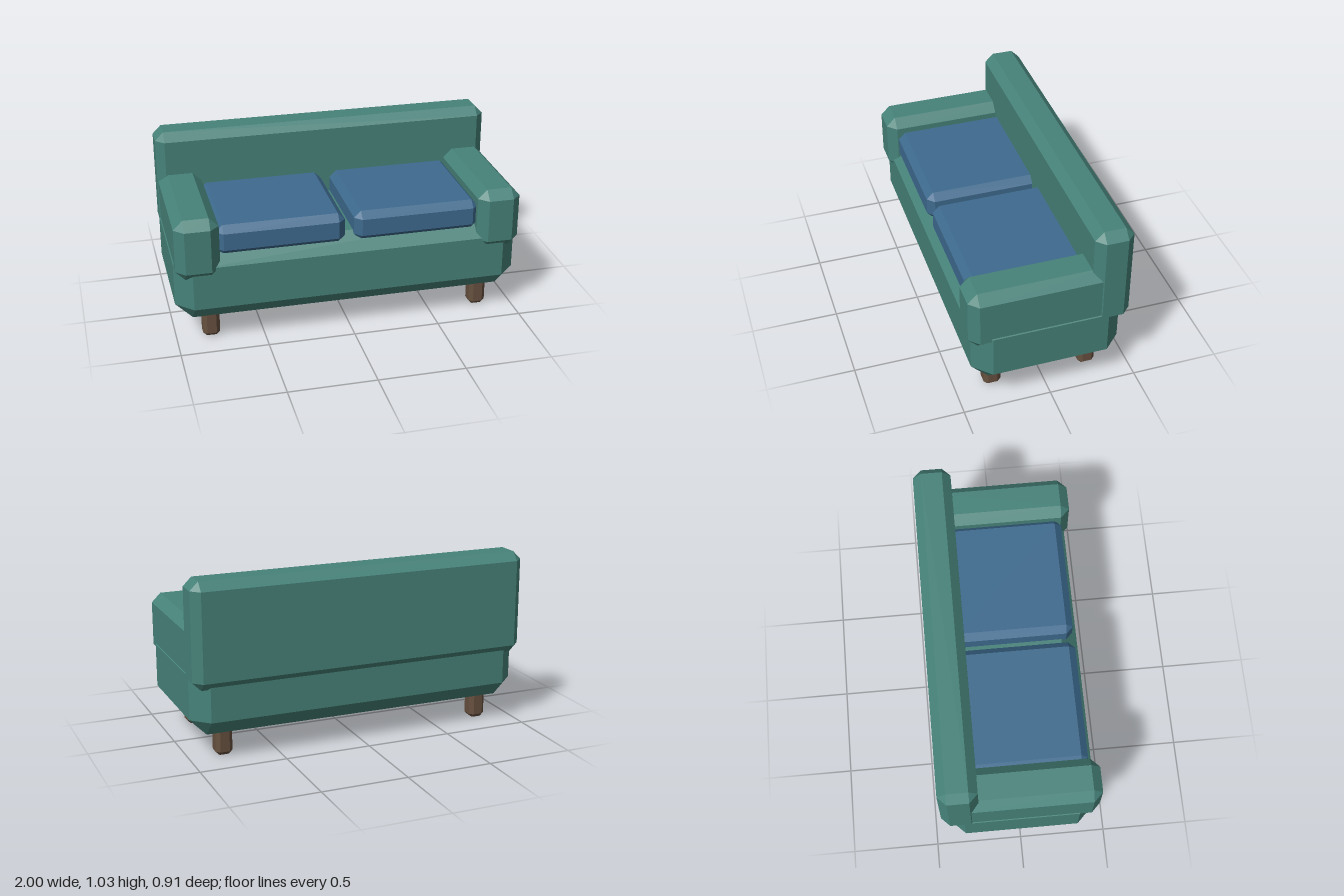
import * as THREE from 'three';
import { ConvexGeometry } from 'three/addons/geometries/ConvexGeometry.js';

const material = (color) => new THREE.MeshStandardMaterial({ color, flatShading: true });

// Box between two corners with every edge and corner cut at 45 degrees
function chamferBox(name, min, max, cut, mat) {
  const center = min.map((v, i) => (v + max[i]) / 2);
  const half = min.map((v, i) => (max[i] - v) / 2);
  const points = [];
  for (const sx of [-1, 1]) for (const sy of [-1, 1]) for (const sz of [-1, 1]) {
    for (let axis = 0; axis < 3; axis++) {
      const [x, y, z] = half.map((h, i) => (i === axis ? h : h - cut));
      points.push(new THREE.Vector3(sx * x, sy * y, sz * z));
    }
  }
  const mesh = new THREE.Mesh(new ConvexGeometry(points), mat);
  mesh.position.set(...center);
  mesh.name = name;
  return mesh;
}

export function createModel() {
  const sofa = new THREE.Group();
  sofa.name = 'sofa';
  const fabric = material(0x468279);
  const cushionFabric = material(0x3d6a8e);
  const wood = material(0x66503f);

  // Seat base and backrest
  sofa.add(chamferBox('base', [-1, 0.14, -0.42], [1, 0.585, 0.43], 0.097, fabric));
  sofa.add(chamferBox('backrest', [-1, 0.425, -0.455], [1, 1.03, -0.235], 0.049, fabric));

  // Mirrored pairs
  for (const [side, s] of [['left', 1], ['right', -1]]) {
    const pair = (name, x0, x1, y, z, cut, mat) => sofa.add(chamferBox(
      side + name,
      [Math.min(s * x0, s * x1), y[0], z[0]],
      [Math.max(s * x0, s * x1), y[1], z[1]], cut, mat));

    pair('Armrest', 0.745, 0.995, [0.42, 0.78], [-0.38, 0.455], 0.053, fabric);
    pair('Cushion', 0.027, 0.76, [0.53, 0.71], [-0.3, 0.4], 0.04, cushionFabric);
    pair('FrontLeg', 0.75, 0.848, [0, 0.25], [0.237, 0.335], 0.022, wood);
    pair('BackLeg', 0.75, 0.848, [0, 0.25], [-0.323, -0.225], 0.022, wood);
  }
  return sofa;
}
